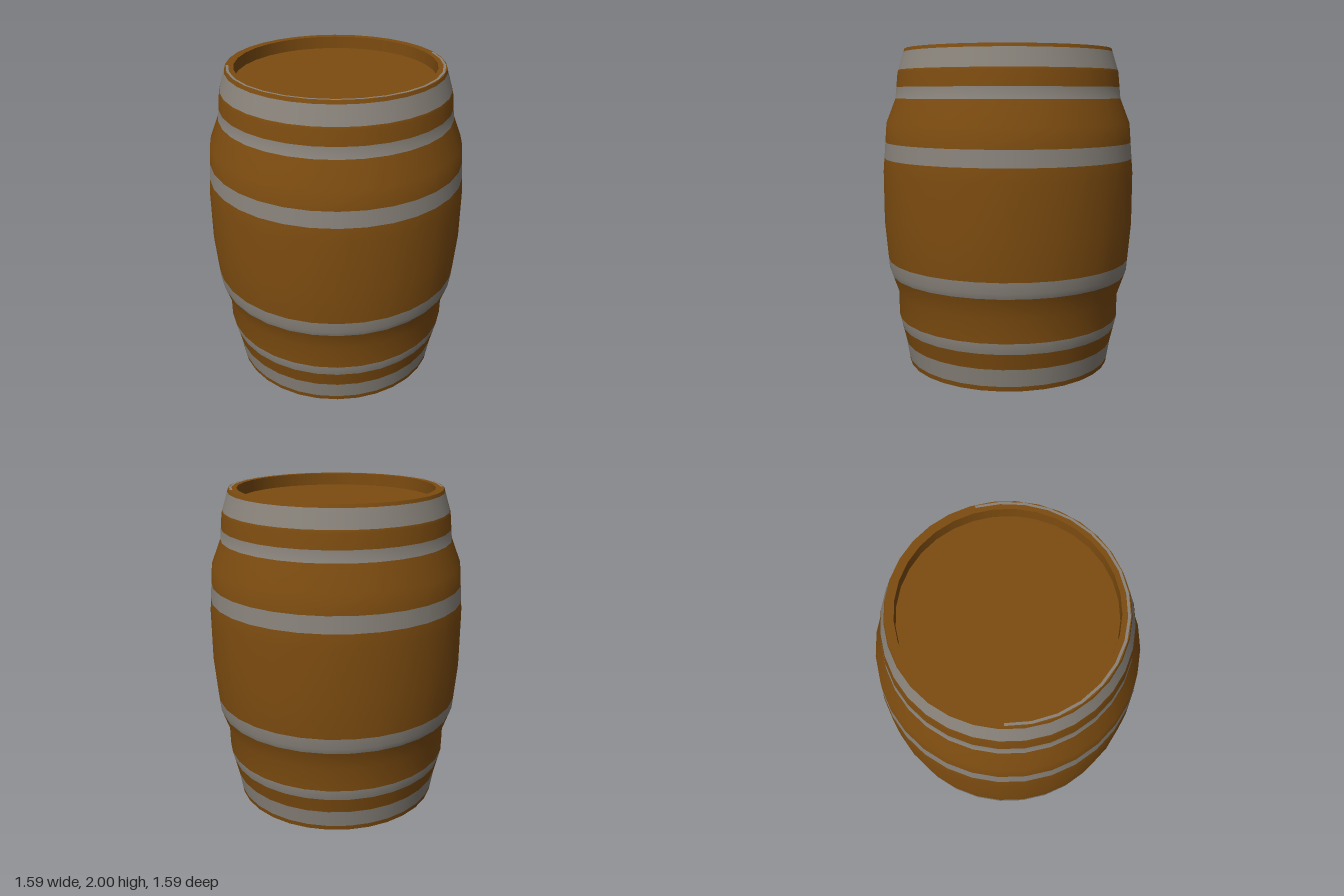
import * as THREE from 'three';

const SIDES = 32;

// Outer stave profile [radius, height]
const PROFILE = [
  [0.65, 0], [0.675, 0.15], [0.713, 0.31], [0.715, 0.46], [0.77, 0.62], [0.795, 0.92],
  [0.795, 1.24], [0.77, 1.545], [0.711, 1.695], [0.695, 1.855], [0.65, 2],
];

// Height ranges of the metal hoops
const HOOPS = [
  [0.03, 0.14], [0.24, 0.31], [0.585, 0.685],
  [1.325, 1.425], [1.695, 1.765], [1.87, 1.98],
];

function radiusAt(y) {
  const i = Math.max(1, PROFILE.findIndex((p) => p[1] >= y));
  const [r0, y0] = PROFILE[i - 1];
  const [r1, y1] = PROFILE[i];
  return r0 + (r1 - r0) * (y - y0) / (y1 - y0);
}

const lathe = (pts) =>
  new THREE.LatheGeometry(pts.map(([r, y]) => new THREE.Vector2(r, y)), SIDES);

export function createModel() {
  const wood = new THREE.MeshStandardMaterial({ color: 0x7d4c10 });
  wood.name = 'wood';
  const metal = new THREE.MeshStandardMaterial({ color: 0x88827a });
  metal.name = 'metal';

  const group = new THREE.Group();
  group.name = 'barrel';
  const add = (name, geometry, material) => {
    const mesh = new THREE.Mesh(geometry, material);
    mesh.name = name;
    group.add(mesh);
    return mesh;
  };

  // One smooth shell, with a ring of vertices at every hoop edge
  const heights = [...new Set([...PROFILE.map((p) => p[1]), ...HOOPS.flat()])].sort((a, b) => a - b);
  const shell = lathe(heights.map((y) => [radiusAt(y), y]));

  // Takes the shell bands whose middle height passes the test
  const bands = (test) => {
    const index = [];
    const rows = heights.length;
    for (let s = 0; s < SIDES; s++) {
      for (let j = 0; j < rows - 1; j++) {
        if (!test((heights[j] + heights[j + 1]) / 2)) continue;
        const a = s * rows + j, b = a + rows;
        index.push(a, b, a + 1, b + 1, a + 1, b);
      }
    }
    const part = shell.clone();
    part.setIndex(index);
    return part;
  };
  const inHoop = (y) => HOOPS.some(([lo, hi]) => y > lo && y < hi);
  add('staves', bands((y) => !inHoop(y)), wood);
  HOOPS.forEach(([lo, hi], i) => add('hoop' + (i + 1), bands((y) => y > lo && y < hi), metal));

  // Flat rim, inner wall of the recess and the two heads
  add('rim', lathe([[0.65, 2], [0.6, 2]]), wood);
  add('innerWall', lathe([[0.6, 2], [0.6, 1.925]]), wood);
  const disc = (name, r, y, turn) => {
    const mesh = add(name, new THREE.CircleGeometry(r, SIDES), wood);
    mesh.rotation.x = turn;
    mesh.position.y = y;
  };
  disc('lid', 0.6, 1.925, -Math.PI / 2);
  disc('bottom', 0.65, 0, Math.PI / 2);

  // Thin metal edging along the front half of the rim
  const edging = add('rimEdging',
    new THREE.RingGeometry(0.63, 0.645, SIDES / 2, 1, Math.PI * 0.95, Math.PI * 1.1), metal);
  edging.rotation.x = -Math.PI / 2;
  edging.position.y = 2.001;

  return group;
}
